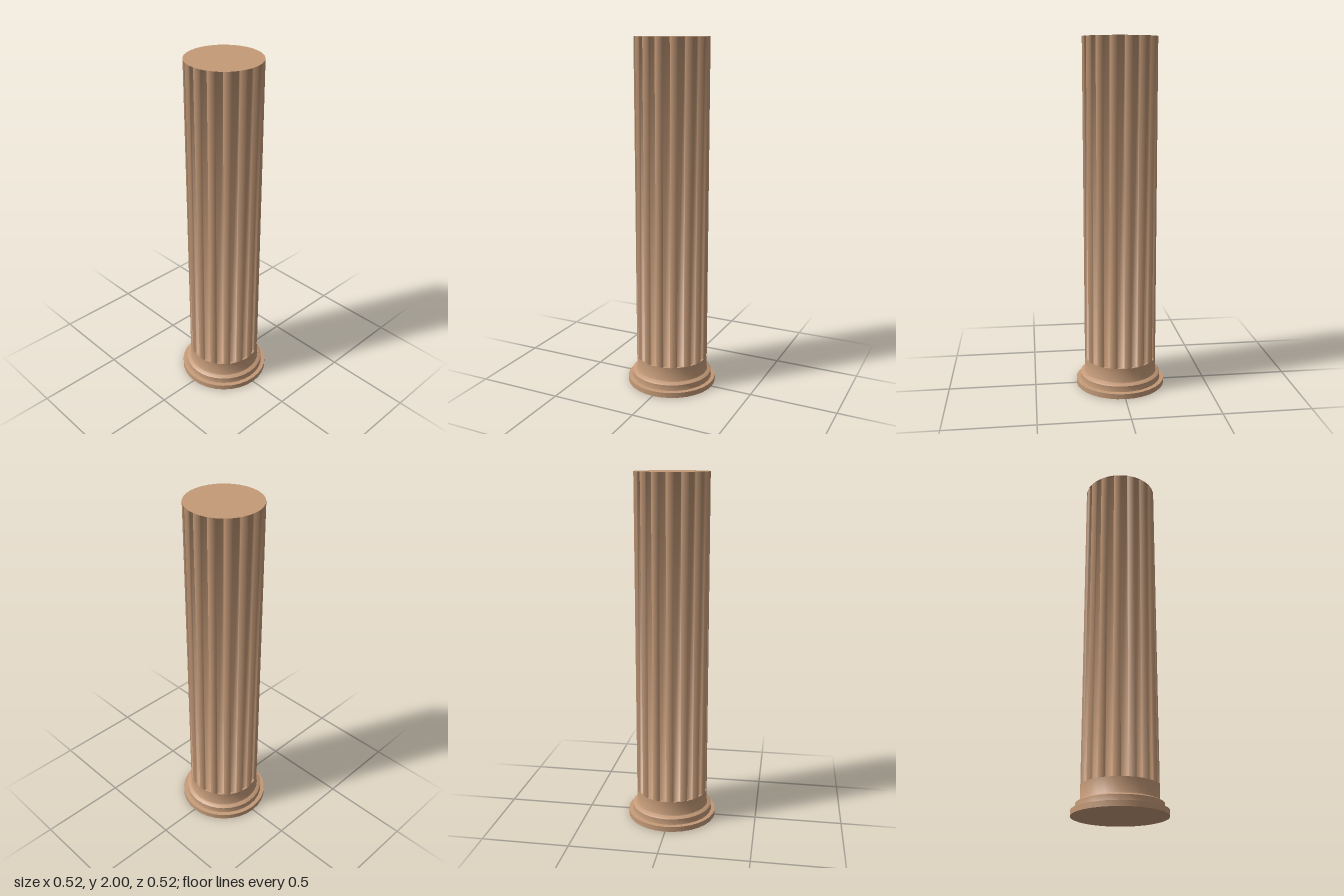
import * as THREE from 'three';
import { toCreasedNormals } from 'three/addons/utils/BufferGeometryUtils.js';

const SIDES = 32;
const STEP = (Math.PI * 2) / SIDES;
const R = 0.208;          // shaft radius
const FLOOR = 0.196;      // radius at the bottom of a flute
const Y0 = 0.16, Y1 = 2;  // flute span

const stone = new THREE.MeshStandardMaterial({ color: 0xc49a78 });

// Shaft vertex with a softened normal: radial, leaning sideways (side) and vertically (lean)
function corner(k, r, y, side, lean) {
  const a = k * STEP, s = Math.sin(a), c = Math.cos(a);
  return {
    p: [r * s, y, r * c],
    n: new THREE.Vector3(s + side * c, lean, c - side * s).normalize().toArray(),
  };
}

// Alternating raised strips and recessed flutes around the shaft
function flutedShaft() {
  const pos = [], nor = [];
  const quad = (a, b, c, d, n) => {
    for (const v of [a, b, c, a, c, d]) {
      pos.push(...v.p);
      nor.push(...(n || v.n));
    }
  };
  for (let k = 0; k < SIDES; k += 2) {
    const outer = (i, y, side) => corner(i, R, y, side, 0);
    const inner = (i, y, side) => corner(i, FLOOR, y, side, y === Y1 ? -1 : 1);

    // raised strip
    quad(outer(k, Y0, -1), outer(k + 1, Y0, 1), outer(k + 1, Y1, 1), outer(k, Y1, -1));

    // flute: floor, two walls, lower ledge and upper end
    const a = k + 1, b = k + 2;
    const oa0 = outer(a, Y0, 1), oa1 = outer(a, Y1, 1), ob0 = outer(b, Y0, -1), ob1 = outer(b, Y1, -1);
    const ia0 = inner(a, Y0, 1), ia1 = inner(a, Y1, 1), ib0 = inner(b, Y0, -1), ib1 = inner(b, Y1, -1);
    quad(ia0, ib0, ib1, ia1);
    quad(oa0, ia0, ia1, oa1);
    quad(ib0, ob0, ob1, ib1);
    quad(oa0, ob0, ib0, ia0, [0, 1, 0]);
    quad(ia1, ib1, ob1, oa1, [0, -1, 0]);
  }
  const g = new THREE.BufferGeometry();
  g.setAttribute('position', new THREE.Float32BufferAttribute(pos, 3));
  g.setAttribute('normal', new THREE.Float32BufferAttribute(nor, 3));
  return g;
}

export function createModel() {
  const group = new THREE.Group();
  group.name = 'column';
  const add = (name, geometry) => {
    const mesh = new THREE.Mesh(geometry, stone);
    mesh.name = name;
    group.add(mesh);
    return mesh;
  };

  // Round plinth, moulding and plain foot of the shaft
  const profile = [
    [0, 0], [0.258, 0], [0.258, 0.03], [0.235, 0.032], [0.233, 0.04],
    [0.233, 0.065], [0.224, 0.071], [0.212, 0.075], [R, 0.082], [R, Y0],
  ].map(([x, y]) => new THREE.Vector2(x, y));
  add('base', toCreasedNormals(new THREE.LatheGeometry(profile, SIDES), 0.7));

  add('flutedShaft', flutedShaft());

  // Flat top
  const top = add('topDisc', new THREE.CircleGeometry(R, SIDES));
  top.rotation.x = -Math.PI / 2;
  top.position.y = Y1;

  return group;
}
